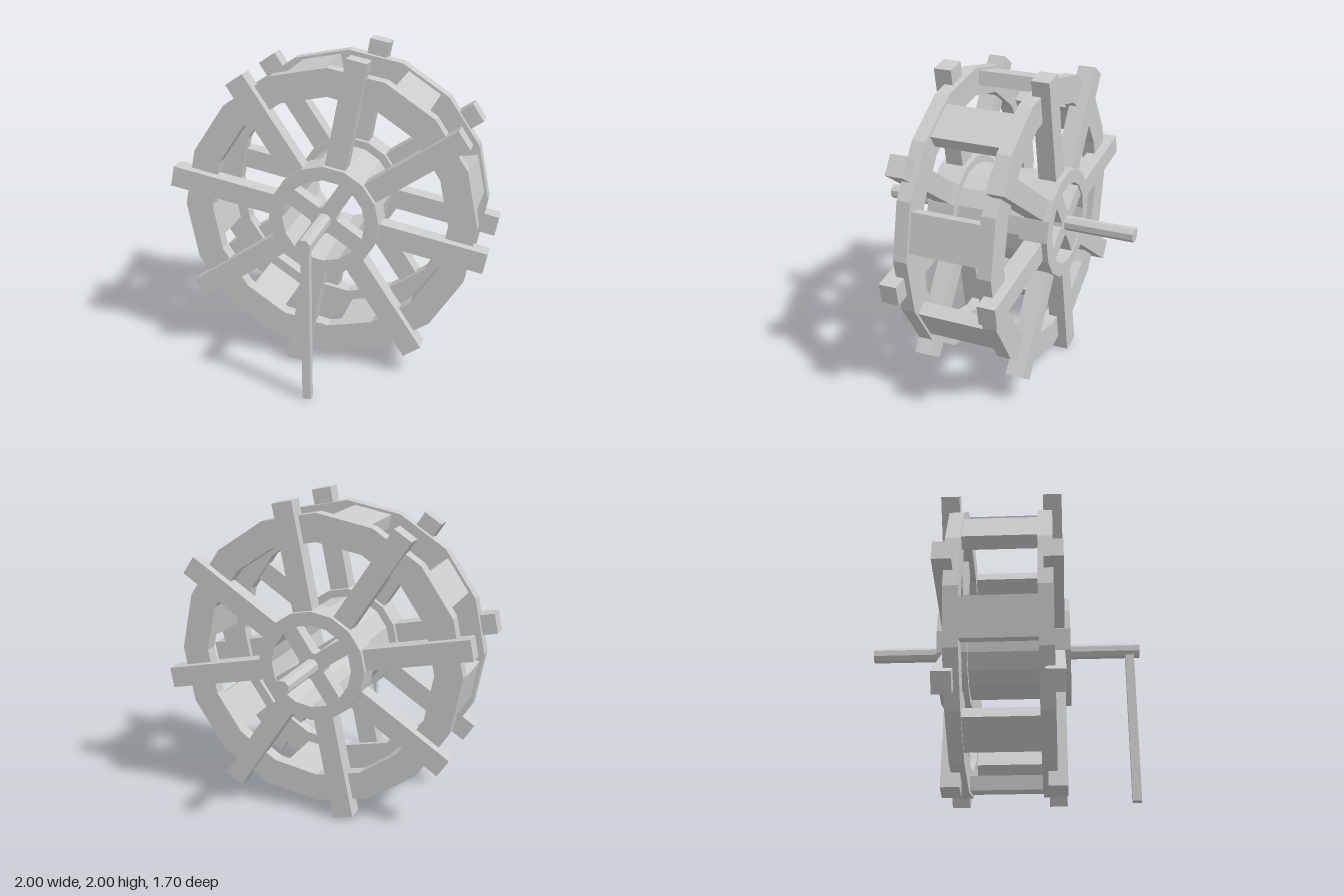
import * as THREE from 'three';

const material = new THREE.MeshStandardMaterial({ color: 0xcccccc, flatShading: true });
const SPOKES = 8;

function add(parent, name, geometry) {
  const mesh = new THREE.Mesh(geometry, material);
  mesh.name = name;
  parent.add(mesh);
  return mesh;
}

// Corners of a regular polygon in the xy plane
function polygon(radius, sides, turn = 0) {
  return Array.from({ length: sides }, (_, i) => {
    const a = (i / sides) * Math.PI * 2 + turn;
    return new THREE.Vector2(Math.cos(a) * radius, Math.sin(a) * radius);
  });
}

// Faceted ring (or disc when inner is 0) from z0 to z1
function ring(outer, inner, z0, z1, sides = 16, turn = 0) {
  const shape = new THREE.Shape(polygon(outer, sides, turn));
  if (inner > 0) shape.holes.push(new THREE.Path(polygon(inner, sides, turn)));
  const geometry = new THREE.ExtrudeGeometry(shape, { depth: z1 - z0, bevelEnabled: false });
  return geometry.translate(0, 0, z0);
}

// Bar reaching from radius r0 to r1 in the direction of angle
function radialBar(r0, r1, width, z0, z1, angle) {
  return new THREE.BoxGeometry(r1 - r0, width, z1 - z0)
    .translate((r0 + r1) / 2, 0, (z0 + z1) / 2)
    .rotateZ(angle);
}

export function createModel() {
  const model = new THREE.Group();
  model.name = 'waterWheel';

  const wheel = new THREE.Group();
  wheel.name = 'wheel';
  wheel.position.y = 1;
  model.add(wheel);

  const step = (Math.PI * 2) / SPOKES;
  const offset = THREE.MathUtils.degToRad(11.25);

  // Two mirrored side frames
  for (const side of [1, -1]) {
    const frame = new THREE.Group();
    frame.name = side > 0 ? 'frontFrame' : 'backFrame';
    wheel.add(frame);
    const span = (a, b) => (side > 0 ? [a, b] : [-b, -a]);

    add(frame, 'rim', ring(0.925, 0.75, ...span(0.225, 0.315)));
    add(frame, 'hubRing', ring(0.345, 0.26, ...span(0.225, 0.41)));
    add(frame, 'hubBoss', ring(0.085, 0, ...span(0.3, 0.4)));

    for (let i = 0; i < SPOKES; i++) {
      add(frame, 'spoke', radialBar(0.3, 1.005, 0.13, ...span(0.26, 0.375), i * step - offset));
    }
    // Cross arms joining the axle to the hub ring
    for (let i = 0; i < 4; i++) {
      add(frame, 'hubArm', radialBar(0.03, 0.28, 0.1, ...span(0.3, 0.4), i * Math.PI / 2 + offset * 5));
    }
  }

  // Paddle boards between the rims, midway between spokes
  for (let i = 0; i < SPOKES; i++) {
    add(wheel, 'paddle', radialBar(0.8, 0.89, 0.25, -0.226, 0.226, i * step + offset));
  }

  // Hollow drum and axle
  add(wheel, 'drum', ring(0.295, 0.26, -0.226, 0.226));
  add(wheel, 'axle', ring(0.047, 0, -0.85, 0.85, 8, Math.PI / 8));

  // Post under the front end of the axle
  add(model, 'post', new THREE.BoxGeometry(0.05, 0.97, 0.055)).position.set(0, 0.485, 0.787);

  return model;
}
